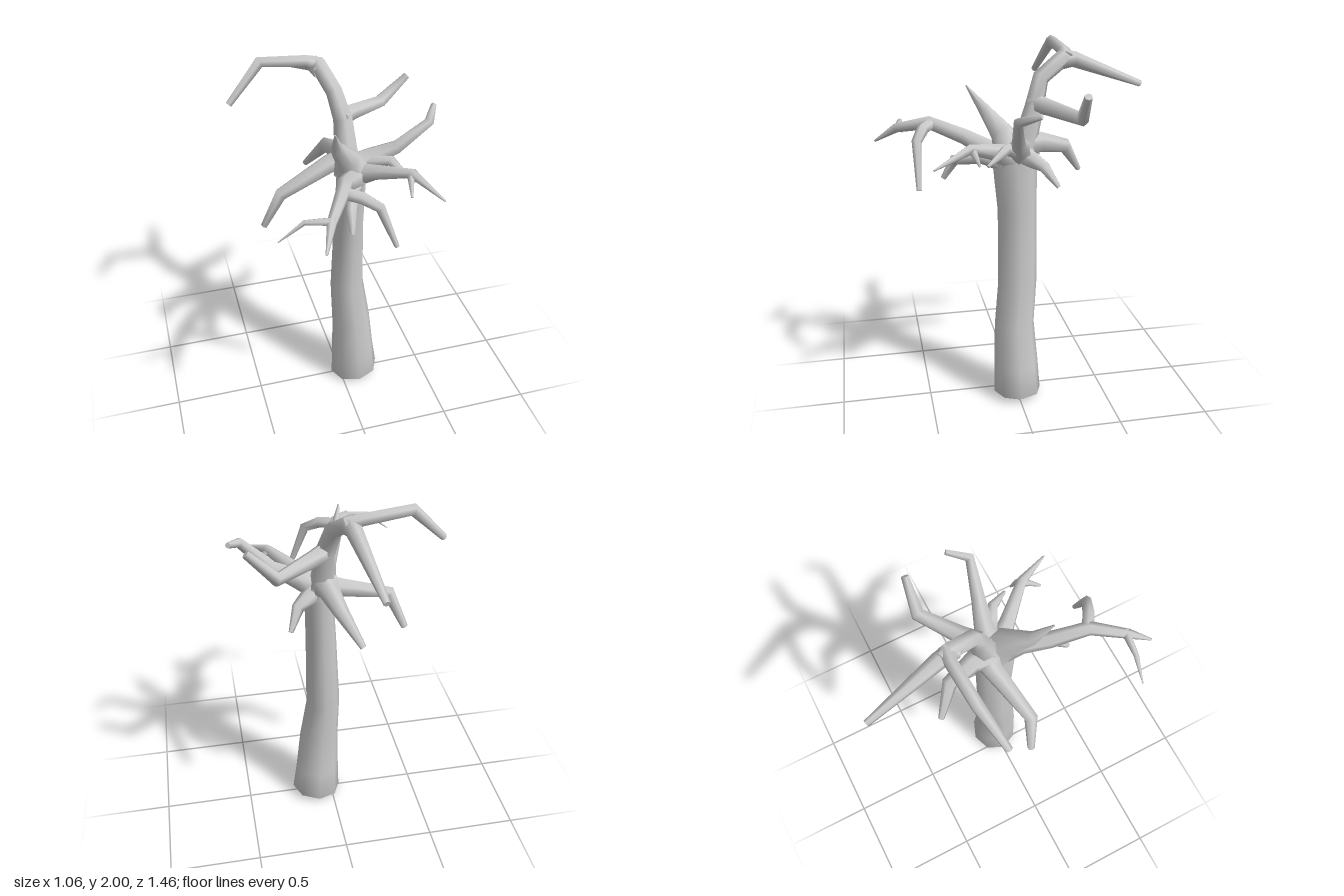
import * as THREE from 'three';

const bark = new THREE.MeshStandardMaterial({ color: 0xcccccc });

// Skin a list of rings (bottom to top, counter-clockwise around the path), with sharp end caps.
function loft(name, rings) {
  const n = rings[0].length, pos = [], idx = [];
  rings.forEach(r => r.forEach(p => pos.push(p.x, p.y, p.z)));
  for (let j = 0; j < rings.length - 1; j++) {
    for (let i = 0; i < n; i++) {
      const a = j * n + i, b = j * n + (i + 1) % n;
      idx.push(a, b, b + n, a, b + n, a + n);
    }
  }
  for (const end of [0, rings.length - 1]) {
    const base = pos.length / 3;
    rings[end].forEach(p => pos.push(p.x, p.y, p.z));
    for (let i = 1; i < n - 1; i++) {
      if (end) idx.push(base, base + i, base + i + 1);
      else idx.push(base, base + i + 1, base + i);
    }
  }
  const g = new THREE.BufferGeometry();
  g.setAttribute('position', new THREE.Float32BufferAttribute(pos, 3));
  g.setIndex(idx);
  g.computeVertexNormals();
  const mesh = new THREE.Mesh(g, bark);
  mesh.name = name;
  return mesh;
}

// Tapering crooked limb through points [x, y, z, radius].
function limb(name, pts, sides = 6) {
  const c = pts.map(p => new THREE.Vector3(p[0], p[1], p[2]));
  const u = new THREE.Vector3();
  const rings = c.map((p, i) => {
    const before = c[Math.max(i - 1, 0)], after = c[Math.min(i + 1, c.length - 1)];
    const t = new THREE.Vector3();
    if (i > 0) t.add(p.clone().sub(before).normalize());
    if (i < c.length - 1) t.add(after.clone().sub(p).normalize());
    t.normalize();
    // carry the side vector along the path so the skin does not twist
    if (i === 0) u.set(0, 1, 0).addScaledVector(t, -t.y);
    if (u.lengthSq() < 0.01) u.set(1, 0, 0);
    u.addScaledVector(t, -u.dot(t)).normalize();
    const v = new THREE.Vector3().crossVectors(t, u);
    return Array.from({ length: sides }, (_, k) => {
      const a = k / sides * Math.PI * 2;
      return p.clone().addScaledVector(u, Math.cos(a) * pts[i][3]).addScaledVector(v, Math.sin(a) * pts[i][3]);
    });
  });
  return loft(name, rings);
}

// Trunk from oval rings [centre x, y, centre z, half width, half depth, tilt].
function trunk() {
  const rows = [
    [0.08, 0.0, 0.01, 0.09, 0.09, 0],
    [0.09, 0.025, 0.0, 0.142, 0.135, 0.1],
    [0.08, 0.2, 0.005, 0.128, 0.128, 0],
    [0.065, 0.45, 0.012, 0.113, 0.113, 0],
    [0.045, 0.7, -0.01, 0.096, 0.11, 0],
    [0.053, 1.13, -0.007, 0.084, 0.108, 0],
    [0.06, 1.4, 0.008, 0.077, 0.12, 0],
    [0.06, 1.47, 0.0, 0.075, 0.11, 0],
    [0.05, 1.54, -0.02, 0.04, 0.06, 0],
  ];
  const sides = 8;
  return loft('trunk', rows.map(([x, y, z, rx, rz, tilt]) =>
    Array.from({ length: sides }, (_, k) => {
      const a = -k / sides * Math.PI * 2;
      const dx = Math.cos(a) * rx;
      return new THREE.Vector3(x + dx, y + dx * tilt, z + Math.sin(a) * rz);
    })));
}

export function createModel() {
  const tree = new THREE.Group();
  tree.name = 'bareTree';
  tree.add(trunk());

  const limbs = {
    // rising leader and its two crooked arms
    leader: [[0.05, 1.42, -0.02, 0.08], [0.05, 1.54, -0.06, 0.062], [0.045, 1.69, -0.1, 0.052],
      [0.01, 1.83, -0.14, 0.045], [-0.035, 1.92, -0.27, 0.045], [-0.055, 1.93, -0.32, 0.03]],
    leaderBackArm: [[-0.03, 1.9, -0.24, 0.045], [-0.05, 1.91, -0.33, 0.042], [-0.11, 1.755, -0.73, 0.017]],
    leaderSideArm: [[-0.02, 1.92, -0.28, 0.04], [-0.1, 1.945, -0.29, 0.033], [-0.34, 1.97, -0.28, 0.031],
      [-0.52, 1.785, -0.225, 0.018]],
    upperLeftBranch: [[0.03, 1.7, -0.09, 0.05], [0.1, 1.695, -0.15, 0.046], [0.31, 1.67, -0.285, 0.036],
      [0.45, 1.81, -0.27, 0.02]],
    // main crown branches
    droopingRightBranch: [[0.05, 1.47, -0.06, 0.08], [-0.04, 1.46, -0.06, 0.054], [-0.32, 1.36, 0.01, 0.036],
      [-0.41, 1.155, -0.03, 0.019]],
    raisedLeftBranch: [[0.07, 1.45, 0, 0.08], [0.17, 1.5, 0.0, 0.055], [0.3, 1.56, 0.035, 0.038],
      [0.455, 1.7, 0.07, 0.027], [0.515, 1.74, -0.03, 0.015]],
    frontSpike: [[0.06, 1.45, 0.03, 0.1], [0.02, 1.55, 0.07, 0.066], [-0.055, 1.66, 0.15, 0.035],
      [-0.09, 1.785, 0.24, 0.004]],
    longFrontBranch: [[0.06, 1.42, 0.04, 0.08], [0.02, 1.46, 0.14, 0.055], [-0.05, 1.52, 0.26, 0.043],
      [-0.11, 1.59, 0.44, 0.036], [-0.21, 1.545, 0.61, 0.025], [-0.265, 1.465, 0.725, 0.006]],
    longFrontInnerTwig: [[-0.11, 1.585, 0.43, 0.034], [-0.03, 1.575, 0.48, 0.032], [0.05, 1.53, 0.52, 0.027],
      [0.14, 1.295, 0.525, 0.013]],
    longFrontOuterTwig: [[-0.19, 1.55, 0.6, 0.022], [-0.33, 1.555, 0.58, 0.014], [-0.45, 1.46, 0.565, 0.003]],
    frontLeftBranch: [[0.07, 1.43, 0.03, 0.07], [0.15, 1.48, 0.12, 0.044], [0.295, 1.54, 0.28, 0.027],
      [0.4, 1.475, 0.47, 0.005]],
    frontLeftTwigA: [[0.28, 1.535, 0.27, 0.023], [0.31, 1.52, 0.26, 0.018], [0.33, 1.46, 0.235, 0.006]],
    frontLeftTwigB: [[0.29, 1.535, 0.27, 0.023], [0.28, 1.52, 0.31, 0.017], [0.265, 1.46, 0.375, 0.006]],
    // short drooping branches
    lowFrontBranch: [[0.06, 1.4, 0.06, 0.06], [0.02, 1.42, 0.18, 0.036], [-0.03, 1.4, 0.32, 0.03],
      [-0.04, 1.3, 0.38, 0.014]],
    sideTwig: [[0.13, 1.48, 0.01, 0.045], [0.25, 1.515, 0.09, 0.029], [0.32, 1.455, 0.195, 0.008]],
    lowBackTwig: [[0.08, 1.44, -0.03, 0.06], [0.19, 1.4, -0.12, 0.033], [0.24, 1.3, -0.19, 0.012]],
    backBranch: [[0.04, 1.48, -0.05, 0.08], [0.03, 1.49, -0.14, 0.055], [0.0, 1.455, -0.28, 0.04],
      [-0.095, 1.295, -0.385, 0.016]],
  };
  for (const [name, pts] of Object.entries(limbs)) tree.add(limb(name, pts));
  return tree;
}
